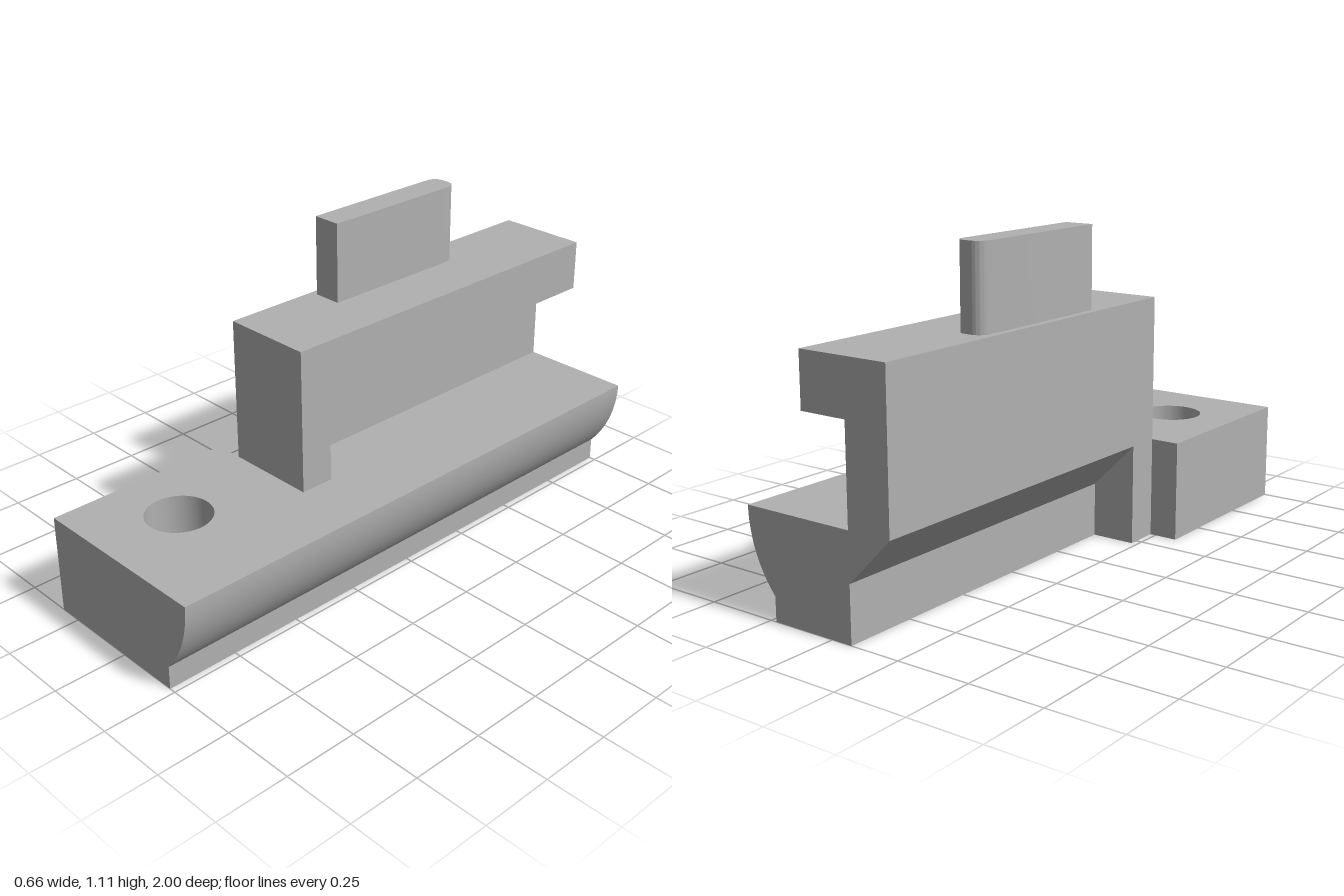
import * as THREE from 'three';
import { toCreasedNormals } from 'three/addons/utils/BufferGeometryUtils.js';

const polygon = (points) => new THREE.Shape(points.map(([x, y]) => new THREE.Vector2(x, y)));

// Extrude an (x, y) section from z0 to z1
function alongZ(shape, z0, z1) {
  const geo = new THREE.ExtrudeGeometry(shape, { depth: z1 - z0, bevelEnabled: false, curveSegments: 32 });
  return toCreasedNormals(geo.translate(0, 0, z0), 0.5);
}

// Extrude an (x, -z) plan from y0 to y1
function alongY(shape, y0, y1) {
  const geo = new THREE.ExtrudeGeometry(shape, { depth: y1 - y0, bevelEnabled: false, curveSegments: 32 });
  return toCreasedNormals(geo.rotateX(-Math.PI / 2).translate(0, y0, 0), 0.5);
}

export function createModel() {
  const group = new THREE.Group();
  const grey = new THREE.MeshStandardMaterial({ color: 0xb0b0b0 });
  grey.name = 'grey';
  const add = (name, geo) => {
    const mesh = new THREE.Mesh(geo, grey);
    mesh.name = name;
    group.add(mesh);
  };

  const deck = 0.343; // top of the base
  const top = 0.838;  // top of the upper block
  const seam = 0.05;  // where the rail meets the other parts
  const web = -0.075; // inner wall of the notch

  // Full-length rail with the curved flank
  const radius = 0.396;
  const rail = polygon([[seam, deck], [seam, 0], [0.228, 0], [0.228, 0.08]]);
  rail.absarc(0.328 - radius, deck, radius, -Math.asin((deck - 0.08) / radius), 0, false);
  add('curvedRail', alongZ(rail, -1, 1));

  // Front foot with a vertical bolt hole
  const foot = polygon([[-0.33, -1], [seam, -1], [seam, -0.34], [-0.33, -0.34]]);
  const hole = new THREE.Path();
  hole.absarc(-0.08, -0.706, 0.11, 0, Math.PI * 2, true);
  foot.holes.push(hole);
  add('frontFoot', alongY(foot, 0, deck));

  // Solid column closing the front of the notch
  add('frontColumn', alongZ(polygon([
    [-0.23, 0], [seam, 0], [seam, deck], [0.093, deck], [0.093, top], [-0.23, top],
  ]), 0.22, 0.34));

  // Rear body: side notch above the deck and sloped undercut below
  add('notchedBody', alongZ(polygon([
    [web, 0], [seam, 0], [seam, deck], [web, deck], [web, 0.66], [0.093, 0.66],
    [0.093, top], [-0.23, top], [-0.23, deck], [web, 0.185],
  ]), -1, 0.22));

  // Upright fin with two rounded rear edges
  const [l, r, back, c] = [-0.205, -0.105, 0.56, 0.038];
  const fin = polygon([[l, 0], [r, 0]]);
  fin.absarc(r - c, back - c, c, 0, Math.PI / 2, false);
  fin.absarc(l + c, back - c, c, Math.PI / 2, Math.PI, false);
  add('topFin', alongY(fin, top, 1.112));

  return group;
}
